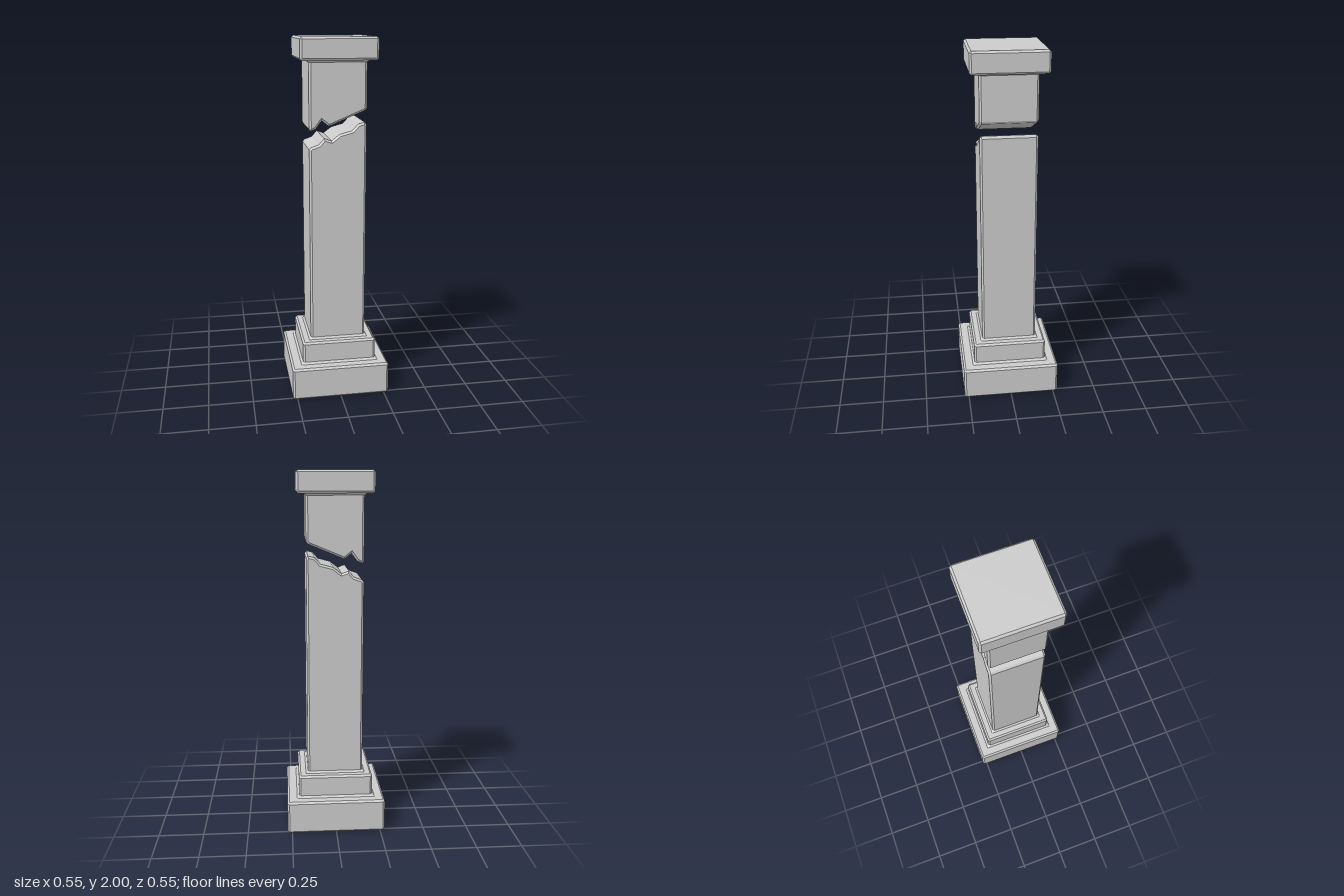
import * as THREE from 'three';

const BEVEL = 0.011;
const SHAFT = 0.156; // half width of the shaft

const material = new THREE.MeshStandardMaterial({ color: 0xcccccc, flatShading: true });

// Square rings with clipped corners: each level is [y, half width, corner clip]
function squareLoft(name, levels) {
  const positions = [];
  const index = [];
  for (const [y, h, c] of levels) {
    const k = h - c;
    const ring = [[h, -k], [h, k], [k, h], [-k, h], [-h, k], [-h, -k], [-k, -h], [k, -h]];
    for (const [x, z] of ring) positions.push(x, y, z);
  }
  const last = (levels.length - 1) * 8;
  for (let i = 0; i < last; i += 8) {
    for (let j = 0; j < 8; j++) {
      const a = i + j, b = i + (j + 1) % 8;
      index.push(a, a + 8, b, b, a + 8, b + 8);
    }
  }
  for (let j = 1; j < 7; j++) {
    index.push(0, j, j + 1);
    index.push(last, last + j + 1, last + j);
  }
  const indexed = new THREE.BufferGeometry();
  indexed.setAttribute('position', new THREE.Float32BufferAttribute(positions, 3));
  indexed.setIndex(index);
  const geometry = indexed.toNonIndexed();
  geometry.computeVertexNormals();
  const mesh = new THREE.Mesh(geometry, material);
  mesh.name = name;
  return mesh;
}

// Block with all its edges chamfered
function chamferedBlock(name, y0, y1, half) {
  const b = BEVEL;
  return squareLoft(name, [
    [y0, half - b, 0], [y0 + b, half, b], [y1 - b, half, b], [y1, half - b, 0],
  ]);
}

// Shaft piece: front outline extruded through the depth with chamfered edges
function shaftPiece(name, outline) {
  const shape = new THREE.Shape(outline.map(([x, y]) => new THREE.Vector2(x, y)));
  const depth = 2 * (SHAFT - BEVEL);
  const geometry = new THREE.ExtrudeGeometry(shape, {
    depth, bevelEnabled: true, bevelSegments: 1,
    bevelSize: BEVEL, bevelThickness: BEVEL, bevelOffset: -BEVEL,
  });
  geometry.translate(0, 0, -depth / 2);
  const mesh = new THREE.Mesh(geometry, material);
  mesh.name = name;
  return mesh;
}

export function createModel() {
  const group = new THREE.Group();
  group.name = 'brokenColumn';

  // Stepped base, with small flared seams where each tier meets the next
  group.add(chamferedBlock('plinth', 0, 0.187, 0.275));
  group.add(chamferedBlock('baseBlock', 0.18, 0.315, 0.208));
  group.add(squareLoft('baseBlockSeam', [[0.18, 0.22, 0], [0.187, 0.22, 0], [0.198, 0.208, BEVEL]]));
  group.add(squareLoft('shaftFootSeam', [[0.308, 0.167, 0], [0.315, 0.167, 0], [0.326, SHAFT, BEVEL]]));

  // Lower shaft with its jagged, rising break
  group.add(shaftPiece('lowerShaft', [
    [-SHAFT, 0.29], [SHAFT, 0.29],
    [SHAFT, 1.538], [0.146, 1.552], [0.11, 1.543], [0.078, 1.508], [0.01, 1.49],
    [-0.035, 1.456], [-0.074, 1.47], [-0.103, 1.437], [-0.146, 1.422], [-SHAFT, 1.41],
  ]));

  // Upper shaft, separated by a gap
  group.add(shaftPiece('upperShaft', [
    [-SHAFT, 1.9], [-SHAFT, 1.52], [-0.146, 1.51], [-0.119, 1.522],
    [-0.088, 1.565], [-0.05, 1.534], [0.146, 1.615], [SHAFT, 1.628], [SHAFT, 1.9],
  ]));

  // Capital
  group.add(squareLoft('shaftHeadSeam', [[1.869, SHAFT, BEVEL], [1.88, 0.167, 0], [1.887, 0.167, 0]]));
  group.add(chamferedBlock('capital', 1.88, 2, 0.207));

  return group;
}
